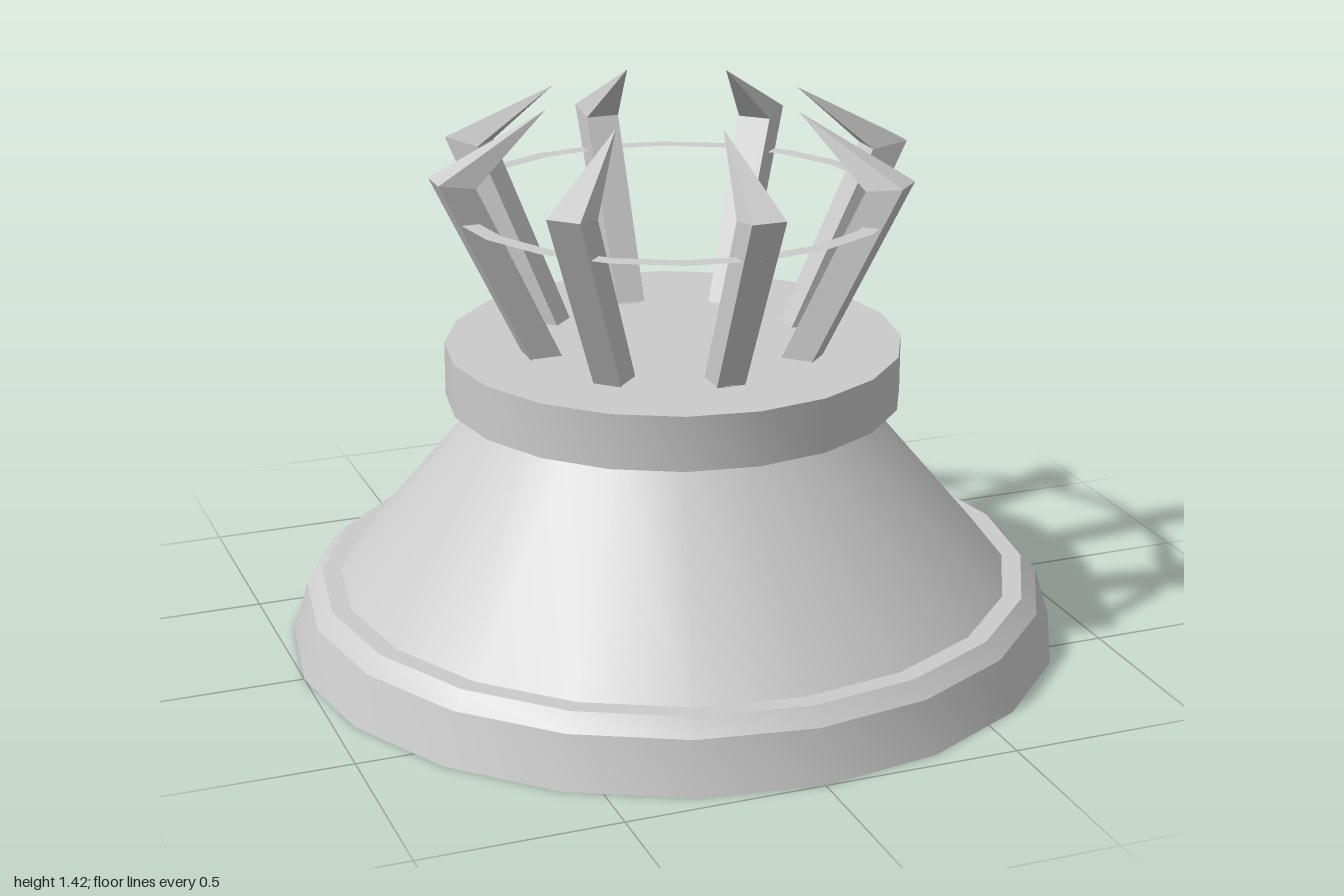
import * as THREE from 'three';
import { toCreasedNormals } from 'three/addons/utils/BufferGeometryUtils.js';

const SIDES = 20;
const grey = new THREE.MeshStandardMaterial({ color: 0xcccccc, side: THREE.DoubleSide });
const greyFlat = new THREE.MeshStandardMaterial({ color: 0xcccccc, flatShading: true });

function addMesh(parent, name, geometry, material = grey) {
  const mesh = new THREE.Mesh(geometry, material);
  mesh.name = name;
  parent.add(mesh);
  return mesh;
}

// Turned part: profile of [radius, height], smooth around, sharp at profile corners
function turned(profile) {
  const points = profile.map(([r, y]) => new THREE.Vector2(r, y));
  return toCreasedNormals(new THREE.LatheGeometry(points, SIDES), 0.42);
}

// Thin horizontal ring
function flatRing(inner, outer, y) {
  return new THREE.RingGeometry(inner, outer, SIDES).rotateX(-Math.PI / 2).translate(0, y, 0);
}

// Leaning four-sided bar, ending in a spike that points inward
function prongGeometry() {
  const loop = (inner, outer, yInner, yOuter, w) => [
    [outer, yOuter, w], [outer, yOuter, -w], [inner, yInner, -w], [inner, yInner, w],
  ];
  const corners = [
    ...loop(0.3, 0.383, 0.765, 0.765, 0.037),
    ...loop(0.53, 0.625, 1.25, 1.265, 0.044),
    [0.335, 1.42, 0],
  ];
  const index = [0, 3, 2, 0, 2, 1];
  for (let i = 0; i < 4; i++) {
    const j = (i + 1) % 4;
    index.push(i, j, j + 4, i, j + 4, i + 4, i + 4, j + 4, 8);
  }
  const geometry = new THREE.BufferGeometry();
  geometry.setAttribute('position', new THREE.Float32BufferAttribute(corners.flat(), 3));
  geometry.setIndex(index);
  const faceted = geometry.toNonIndexed();
  faceted.computeVertexNormals();
  return faceted;
}

export function createModel() {
  const model = new THREE.Group();
  model.name = 'prongedPedestal';

  // Hollow flared base, open at both ends
  addMesh(model, 'base', turned([[1, 0], [0.96, 0.13], [0.92, 0.17], [0.87, 0.17], [0.485, 0.63]]));

  // Collar floating just above the base, hollow underneath
  addMesh(model, 'collar', turned([
    [0, 0.775], [0.53, 0.775], [0.53, 0.65], [0.585, 0.65], [0.585, 0.79], [0, 0.79],
  ]));

  // Inlay on the collar where the prongs stand
  addMesh(model, 'inlayRing', flatRing(0.31, 0.4, 0.793));

  // Thin ring joining the prongs
  addMesh(model, 'prongRing', flatRing(0.53, 0.575, 1.16));

  // Eight prongs around the collar
  const prongs = new THREE.Group();
  prongs.name = 'prongs';
  const geometry = prongGeometry();
  for (let i = 0; i < 8; i++) {
    addMesh(prongs, 'prong', geometry, greyFlat).rotation.y = (i * Math.PI) / 4;
  }
  model.add(prongs);

  return model;
}
